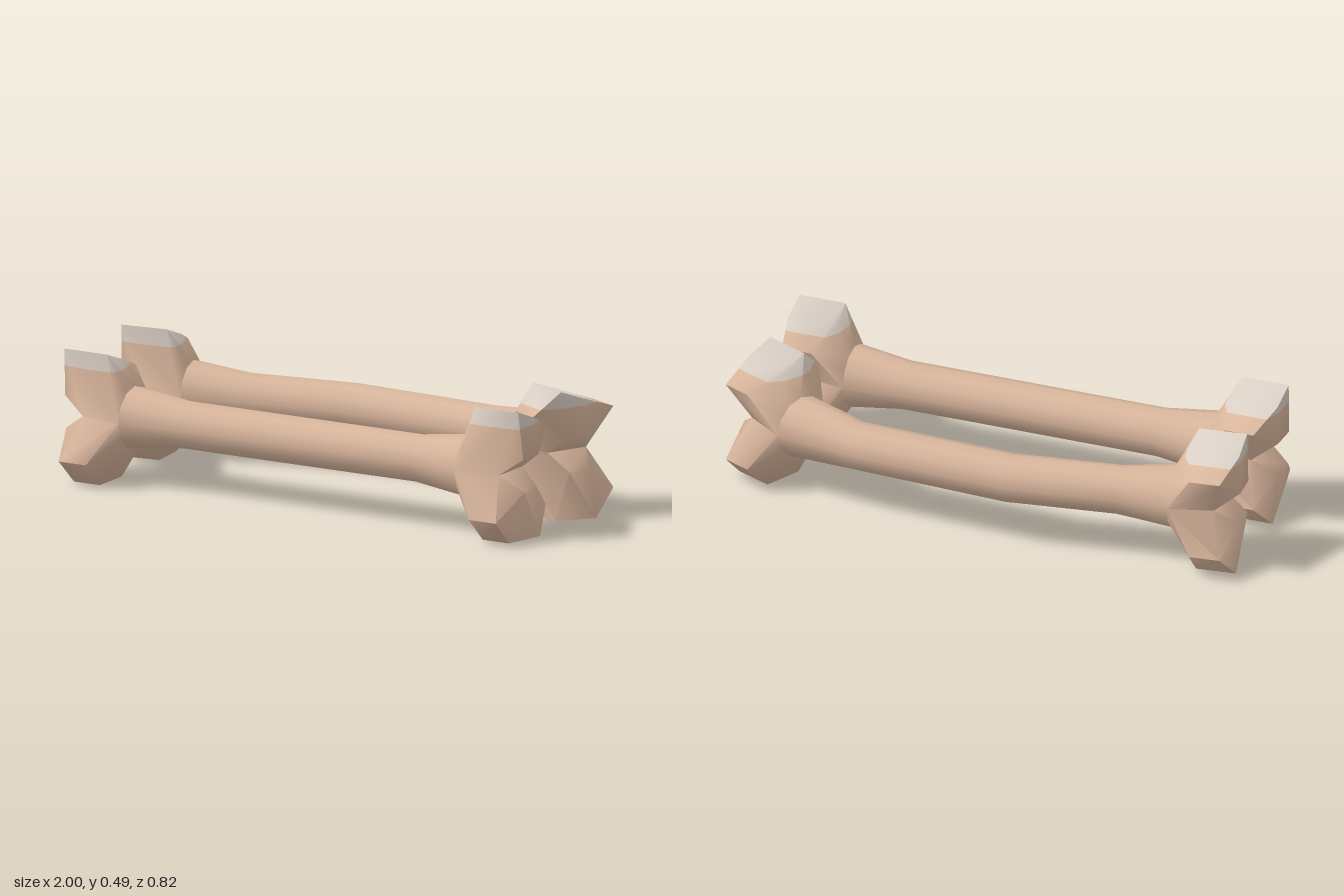
import * as THREE from 'three';
import { ConvexGeometry } from 'three/addons/geometries/ConvexGeometry.js';
import { toCreasedNormals } from 'three/addons/utils/BufferGeometryUtils.js';

const MID = 0.25; // height of the shaft axis
const CAP = 0.43; // height where the pale tops begin
const SIDES = 12;
const COLLAR = 0.117; // radius where the shaft meets the knobs

const boneMaterial = new THREE.MeshStandardMaterial({ color: 0xd8b59c });
boneMaterial.name = 'boneTan';
const capMaterial = new THREE.MeshStandardMaterial({ color: 0xd9cec4 });
capMaterial.name = 'paleTop';

// Knob corners as [outward, up, forward] from the middle of the bone end.
const upperCorners = [
  [-0.09, 0.243, 0.08], [0.09, 0.243, 0.08],
  [-0.1, 0.202, -0.03], [0.09, 0.202, -0.03],
  [-0.06, 0.15, -0.175], [0.055, 0.15, -0.175],
  [0.1, 0.065, -0.05], [0.1, 0.065, 0.06],
];
const lowerCorners = [
  [-0.06, -0.155, -0.175], [0.055, -0.155, -0.175],
  [-0.06, -0.25, 0.08], [0.05, -0.25, 0.08],
  [-0.06, -0.25, -0.075], [0.09, -0.25, -0.075],
  [0.1, -0.06, 0.05], [0.1, -0.06, -0.04],
];
// Forward bulge, on either the lower or the upper knob
const bulge = (up) => [[-0.06, up * 0.155, 0.18], [0.055, up * 0.155, 0.18]];

// Half of the collar ring plus the notch, so each knob flows out of the shaft.
function neck(up) {
  const points = [[0.01, 0, -0.085], [0.01, 0, 0.085]];
  for (let i = 0; i <= SIDES / 2; i++) {
    const a = (i / SIDES) * Math.PI * 2;
    points.push([-0.16, up * COLLAR * Math.sin(a), COLLAR * Math.cos(a)]);
  }
  return points;
}

// Keep the part of a geometry above (sign 1) or below (sign -1) the cap height.
function clip(geometry, sign) {
  const pos = geometry.attributes.position, nor = geometry.attributes.normal;
  const outP = [], outN = [];
  for (let i = 0; i < pos.count; i += 3) {
    const tri = [0, 1, 2].map((k) => ({
      p: new THREE.Vector3().fromBufferAttribute(pos, i + k),
      n: new THREE.Vector3().fromBufferAttribute(nor, i + k),
    }));
    const poly = [];
    tri.forEach((a, k) => {
      const b = tri[(k + 1) % 3];
      const da = (a.p.y - CAP) * sign, db = (b.p.y - CAP) * sign;
      if (da >= 0) poly.push(a);
      if (da * db < 0) {
        const t = da / (da - db);
        poly.push({ p: a.p.clone().lerp(b.p, t), n: a.n.clone().lerp(b.n, t).normalize() });
      }
    });
    for (let k = 1; k + 1 < poly.length; k++) {
      for (const v of [poly[0], poly[k], poly[k + 1]]) {
        outP.push(...v.p.toArray());
        outN.push(...v.n.toArray());
      }
    }
  }
  const result = new THREE.BufferGeometry();
  result.setAttribute('position', new THREE.Float32BufferAttribute(outP, 3));
  result.setAttribute('normal', new THREE.Float32BufferAttribute(outN, 3));
  return result;
}

function addMesh(group, name, geometry, material) {
  const mesh = new THREE.Mesh(geometry, material);
  mesh.name = name;
  group.add(mesh);
}

// One bone end: upper and lower knob joined into one open skin, with a pale top.
function boneEnd(name, { side, x, z, turn = 0, bulgeUp = -1 }) {
  const group = new THREE.Group();
  group.name = name;
  const axis = new THREE.Vector3(0, 1, 0);
  const place = ([u, v, w]) => new THREE.Vector3(side * u, v, w)
    .applyAxisAngle(axis, turn).add(new THREE.Vector3(x, MID, z));
  const collarCentre = place([-0.16, 0, 0]);
  const skin = [];
  [[upperCorners, 1], [lowerCorners, -1]].forEach(([corners, up]) => {
    const extra = up === bulgeUp ? bulge(up) : [];
    const pos = new ConvexGeometry([...corners, ...extra, ...neck(up)].map(place)).attributes.position;
    for (let i = 0; i < pos.count; i += 3) {
      const tri = [0, 1, 2].map((k) => new THREE.Vector3().fromBufferAttribute(pos, i + k));
      // Drop the faces hidden between the knobs and against the shaft
      const hidden = tri.every((p) => Math.abs(p.y - MID) < 1e-4)
        || tri.every((p) => p.distanceTo(collarCentre) < COLLAR + 0.005);
      if (!hidden) tri.forEach((p) => skin.push(...p.toArray()));
    }
  });
  const geometry = new THREE.BufferGeometry();
  geometry.setAttribute('position', new THREE.Float32BufferAttribute(skin, 3));
  const smooth = toCreasedNormals(geometry, 1.15);
  addMesh(group, 'knobs', clip(smooth, -1), boneMaterial);
  addMesh(group, 'knobTop', clip(smooth, 1), capMaterial);
  return group;
}

// Shaft lofted through rings [x, z, radius, turn], listed from +x to -x.
function shaft(rings) {
  const n = rings.length - 1;
  const geometry = new THREE.CylinderGeometry(1, 1, 1, SIDES, n, true);
  const pos = geometry.attributes.position;
  for (let i = 0; i < pos.count; i++) {
    const [x, z, r, turn = 0] = rings[Math.round((0.5 - pos.getY(i)) * n)];
    const w = pos.getZ(i) * r;
    pos.setXYZ(i, x + Math.sin(turn) * w, MID - pos.getX(i) * r, z + Math.cos(turn) * w);
  }
  return toCreasedNormals(geometry, 1.0);
}

// A bone whose shaft runs from collar to collar through the given middle rings
function bone(name, middleRings, left, right) {
  const group = new THREE.Group();
  group.name = name;
  const collar = ({ side, x, z, turn = 0 }) => [
    x - side * 0.16 * Math.cos(turn), z + side * 0.16 * Math.sin(turn), COLLAR, turn];
  addMesh(group, 'shaft', shaft([collar(left), ...middleRings, collar(right)]), boneMaterial);
  group.add(boneEnd('leftEnd', left), boneEnd('rightEnd', right));
  return group;
}

export function createModel() {
  const model = new THREE.Group();
  model.name = 'bones';

  // Straight bone in front
  model.add(bone('straightBone',
    [[0.5, 0.23, 0.09], [-0.5, 0.23, 0.09]],
    { side: 1, x: 0.865, z: 0.23 },
    { side: -1, x: -0.88, z: 0.23 }));

  // Bent bone behind, with its ends turned
  model.add(bone('bentBone',
    [[0.48, -0.288, 0.089, -0.1], [-0.13, -0.32, 0.09], [-0.54, -0.255, 0.09, 0.1]],
    { side: 1, x: 0.875, z: -0.157, turn: -0.43, bulgeUp: 1 },
    { side: -1, x: -0.9, z: -0.202, turn: 0.12 }));

  return model;
}
